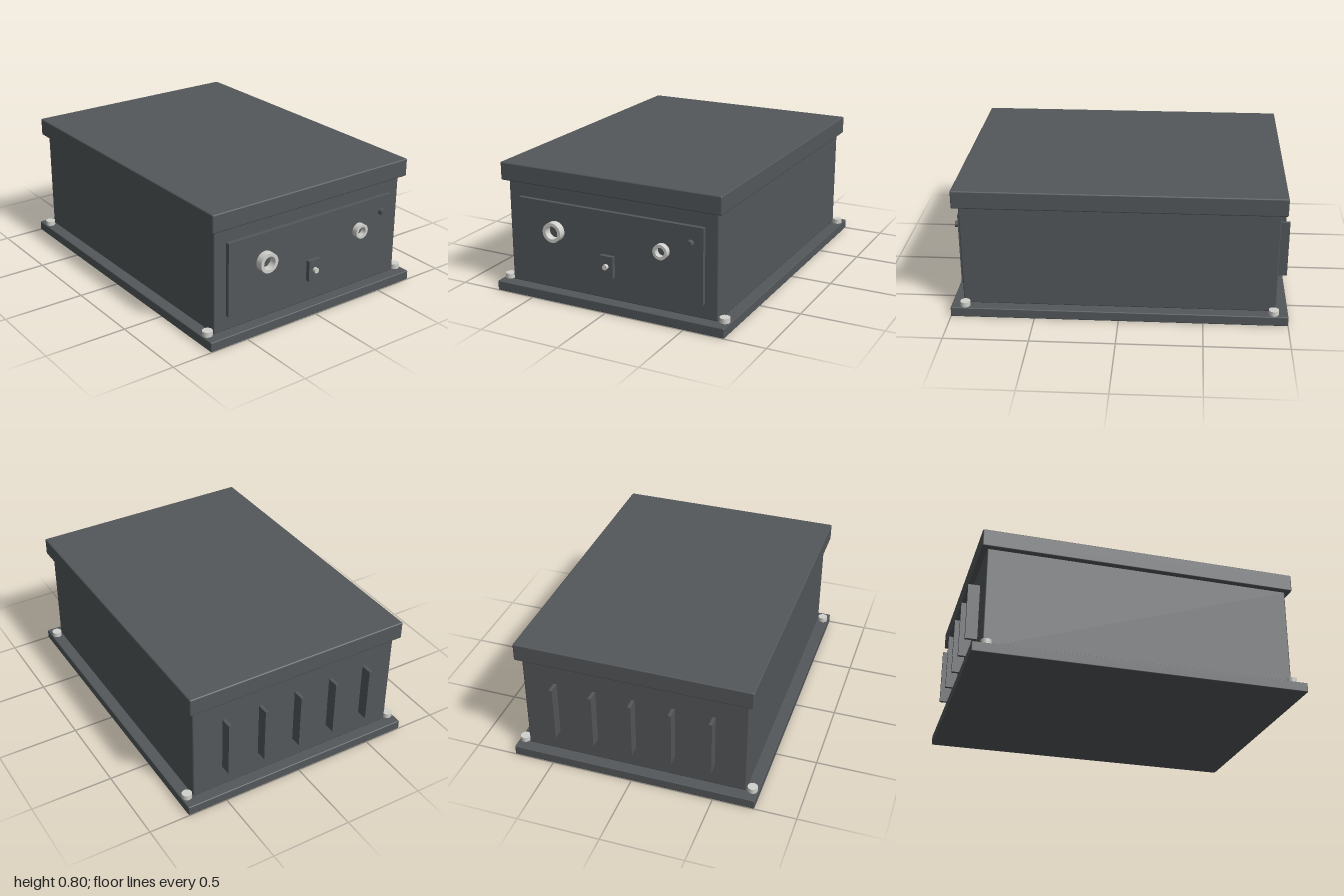
import * as THREE from 'three';
import { RoundedBoxGeometry } from 'three/addons/geometries/RoundedBoxGeometry.js';

export function createModel() {
  const model = new THREE.Group();
  model.name = 'enclosure';
  const casing = new THREE.MeshStandardMaterial({ color: 0x53575a });
  casing.name = 'dark grey casing';
  const metal = new THREE.MeshStandardMaterial({ color: 0xd0d0cc });
  metal.name = 'light metal';

  const add = (name, geometry, material, x, y, z) => {
    const mesh = new THREE.Mesh(geometry, material);
    mesh.name = name;
    mesh.position.set(x, y, z);
    model.add(mesh);
    return mesh;
  };
  // Box given by its x and y ranges, centred on z
  const box = (name, x0, x1, y0, y1, depth, z = 0, radius = 0) => {
    const size = [x1 - x0, y1 - y0, depth];
    const geometry = radius ? new RoundedBoxGeometry(...size, 2, radius) : new THREE.BoxGeometry(...size);
    return add(name, geometry, casing, (x0 + x1) / 2, (y0 + y1) / 2, z);
  };
  // Cylinder along x
  const rod = (name, radius, x0, x1, y, z, material) => {
    const geometry = new THREE.CylinderGeometry(radius, radius, x1 - x0, 32).rotateZ(-Math.PI / 2);
    return add(name, geometry, material, (x0 + x1) / 2, y, z);
  };
  // Hollow socket along x, with an open bore
  const socket = (name, outer, inner, x0, x1, y, z) => {
    const w = x1 - x0;
    const profile = [[inner, 0], [outer, 0], [outer, w], [inner, w], [inner, 0]];
    const parts = new THREE.Group();
    parts.name = name;
    for (let i = 0; i < 4; i++) {
      const pair = profile.slice(i, i + 2).map(([r, h]) => new THREE.Vector2(r, h));
      const wall = new THREE.Mesh(new THREE.LatheGeometry(pair, 40), metal);
      wall.name = 'socketWall';
      parts.add(wall);
    }
    parts.rotation.z = -Math.PI / 2;
    parts.position.set(x0, y, z);
    model.add(parts);
  };

  // Main housing
  box('basePlate', -1, 1, 0, 0.06, 1.5, 0, 0.006);
  box('body', -0.93, 0.93, 0.058, 0.695, 1.36, 0, 0.008);
  box('lid', -0.965, 0.965, 0.69, 0.8, 1.425, 0, 0.008);

  // Corner bolts on the base flange
  for (const x of [-0.915, 0.915]) {
    for (const z of [-0.715, 0.715]) {
      add('baseBolt', new THREE.CylinderGeometry(0.03, 0.03, 0.03, 24), metal, x, 0.075, z);
    }
  }

  // Connector panel on the +x side
  box('connectorPanel', 0.925, 0.955, 0.15, 0.6, 1.2);
  socket('largeSocket', 0.06, 0.04, 0.955, 1, 0.43, 0.35);
  socket('smallSocket', 0.045, 0.028, 0.955, 0.99, 0.43, -0.35);
  rod('indicator', 0.02, 0.955, 0.985, 0.505, -0.525, casing);
  box('switchPlate', 0.955, 0.98, 0.212, 0.342, 0.085);
  rod('switchLever', 0.016, 0.98, 1, 0.28, 0, metal);

  // Cooling fins on the -x side
  for (let i = -2; i <= 2; i++) box('coolingFin', -1, -0.925, 0.2, 0.55, 0.02, i * 0.24);

  return model;
}
